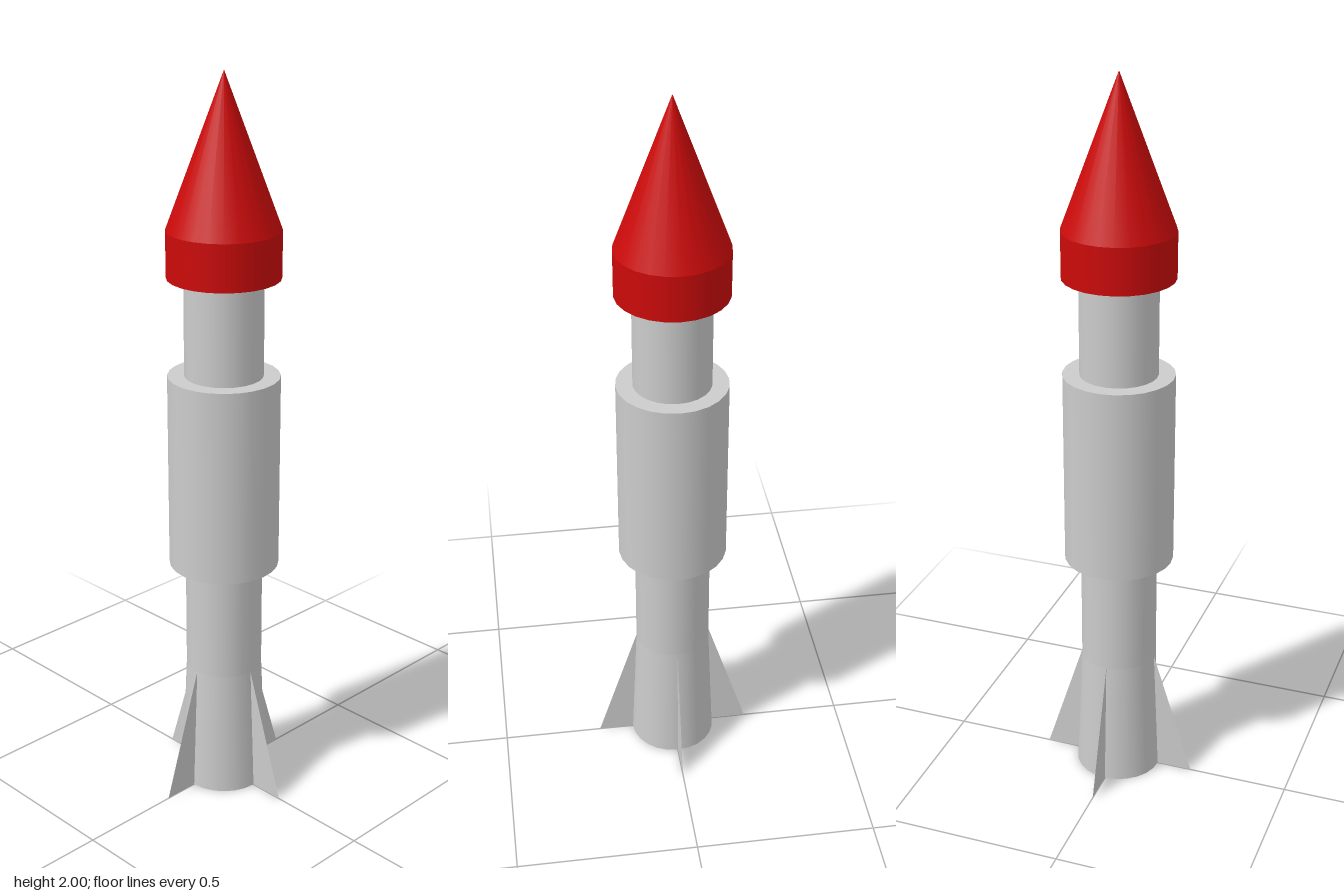
import * as THREE from 'three';

const SIDES = 24;

export function createModel() {
  const rocket = new THREE.Group();
  rocket.name = 'rocket';
  const grey = new THREE.MeshStandardMaterial({ color: 0xcccccc });
  const thinGrey = new THREE.MeshStandardMaterial({ color: 0xcccccc, side: THREE.DoubleSide });
  const red = new THREE.MeshStandardMaterial({ color: 0xcc0a0a });

  const add = (name, geometry, material) => {
    const mesh = new THREE.Mesh(geometry, material);
    mesh.name = name;
    rocket.add(mesh);
    return mesh;
  };
  // Round section between two heights
  const section = (name, y0, y1, rBottom, rTop, material, open = false) => {
    const geometry = new THREE.CylinderGeometry(rTop, rBottom, y1 - y0, SIDES, 1, open);
    return add(name, geometry.translate(0, (y0 + y1) / 2, 0), material);
  };

  // Body, wider sleeve and nose
  section('body', 0.36, 1.48, 0.105, 0.105, grey);
  section('sleeve', 0.67, 1.21, 0.15, 0.15, grey);
  section('noseCollar', 1.475, 1.6, 0.15, 0.15, red);
  section('noseCone', 1.6, 2, 0.15, 0, red, true);

  // Flared tail with an annular rim and a hollow nozzle
  section('tail', 0, 0.36, 0.12, 0.105, grey, true);
  section('nozzleWall', 0, 0.36, 0.066, 0.066, thinGrey, true);
  add('tailRim', new THREE.RingGeometry(0.066, 0.12, SIDES).rotateX(Math.PI / 2), grey);

  // Four thin fins, one on each axis
  const outline = new THREE.Shape([
    new THREE.Vector2(0.12, 0),
    new THREE.Vector2(0.22, 0),
    new THREE.Vector2(0.105, 0.36),
  ]);
  const fin = new THREE.ShapeGeometry(outline);
  for (let i = 0; i < 4; i++) {
    add('fin' + (i + 1), fin, thinGrey).rotation.y = i * Math.PI / 2;
  }
  return rocket;
}
